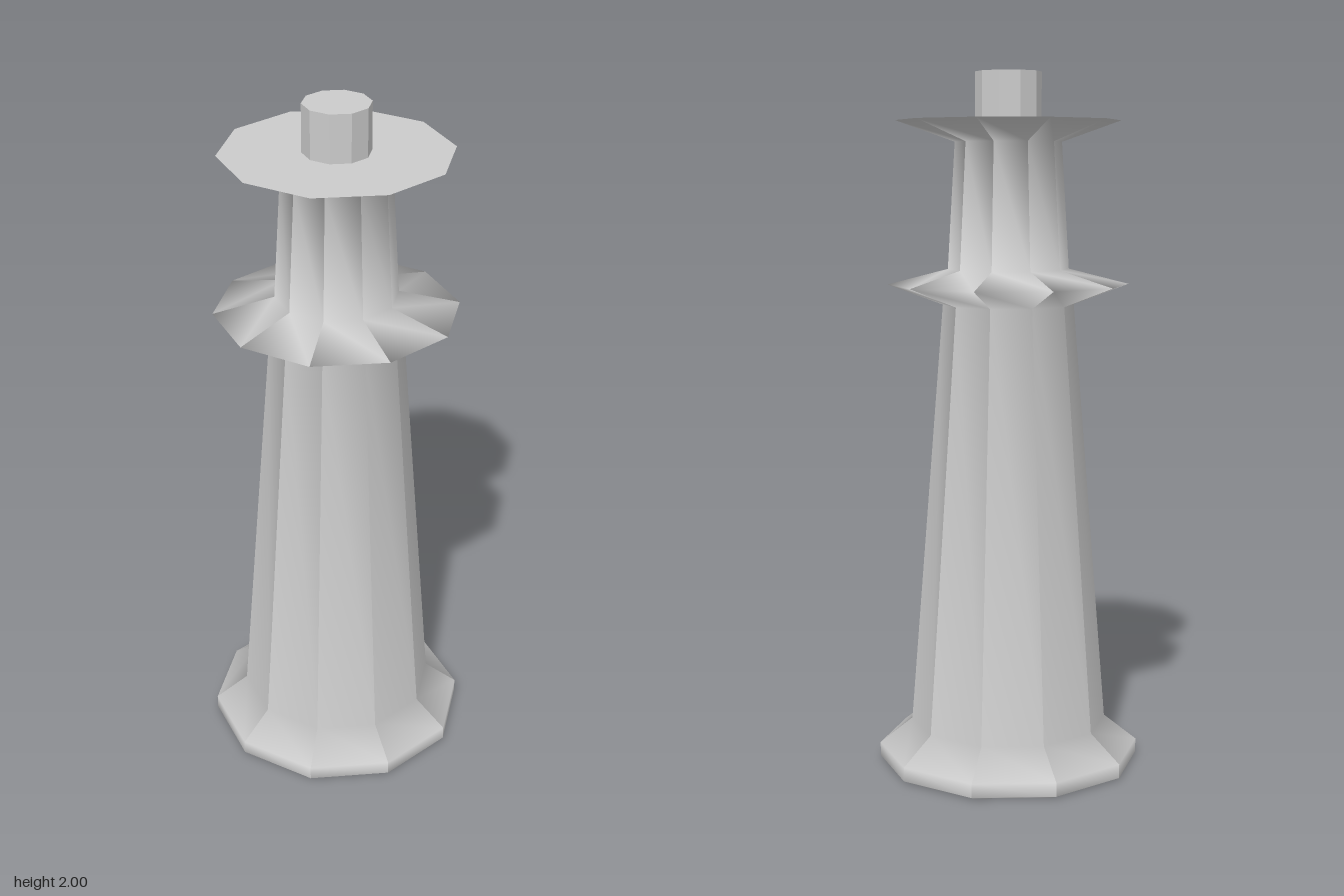
import * as THREE from 'three';
import { mergeGeometries } from 'three/addons/utils/BufferGeometryUtils.js';

const SIDES = 10;

// Ten-sided turned form: smooth along the profile, creased between the panels.
function facetedLathe(name, profile, material) {
  const points = profile.map(([r, y]) => new THREE.Vector2(r, y));
  const step = (Math.PI * 2) / SIDES;
  const panels = [];
  for (let i = 0; i < SIDES; i++) {
    const panel = new THREE.LatheGeometry(points, 1, Math.PI / 2 + i * step, step);
    panel.computeVertexNormals();
    panels.push(panel);
  }
  const mesh = new THREE.Mesh(mergeGeometries(panels), material);
  mesh.name = name;
  return mesh;
}

export function createModel() {
  const model = new THREE.Group();
  model.name = 'tower';
  const grey = new THREE.MeshStandardMaterial({ color: 0xcccccc });

  // Underside of the foot
  model.add(facetedLathe('footUnderside', [[0, 0], [0.37, 0]], grey));

  // Foot, tapering shaft, sharp middle collar, neck and flared top
  model.add(facetedLathe('towerBody', [
    [0.37, 0], [0.38, 0.005], [0.38, 0.045], [0.285, 0.12],
    [0.188, 1.345], [0.345, 1.403], [0.173, 1.447],
    [0.152, 1.805], [0.32, 1.865],
  ], grey));

  // Flat deck on the flare
  model.add(facetedLathe('topDeck', [[0.32, 1.865], [0, 1.865]], grey));

  // Small drum on the deck
  model.add(facetedLathe('topDrum', [[0.094, 1.865], [0.094, 2]], grey));
  model.add(facetedLathe('topDrumCap', [[0.094, 2], [0, 2]], grey));

  return model;
}
